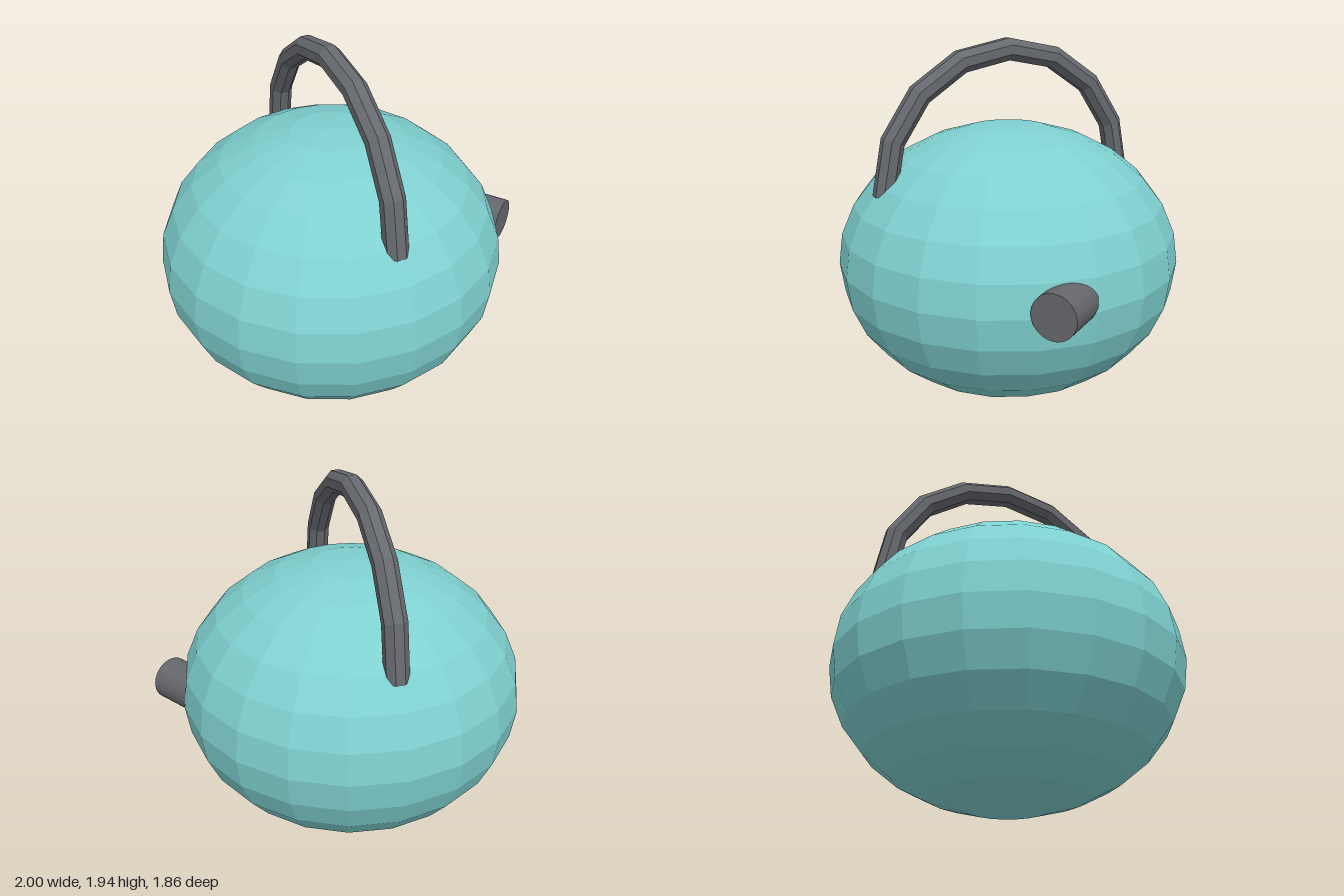
import * as THREE from 'three';

const CX = -0.067; // x of the body's axis

export function createModel() {
  const model = new THREE.Group();
  const add = (name, geometry, color) => {
    const material = new THREE.MeshStandardMaterial({ color, flatShading: true });
    const mesh = new THREE.Mesh(geometry, material);
    mesh.name = name;
    model.add(mesh);
    return mesh;
  };

  // Squashed faceted sphere
  const body = add('body', new THREE.SphereGeometry(0.932, 20, 14), 0x7fd0d0);
  body.scale.y = 0.8;
  body.position.set(CX, 0.75, 0);

  // Half ring with an octagonal section, flat side outward
  const section = [];
  for (let i = 0; i <= 8; i++) {
    const a = ((i + 0.5) * Math.PI) / 4;
    section.push(new THREE.Vector2(0.706 + 0.0625 * Math.cos(a), 0.0625 * Math.sin(a)));
  }
  const arch = new THREE.LatheGeometry(section, 8, 0, Math.PI).rotateZ(Math.PI / 2);
  const handle = add('handle', arch, 0x66696e);
  handle.material.side = THREE.DoubleSide;
  handle.position.set(CX, 1.178, 0);

  // Short spout, turned between the front and the left, its inner end sunk in the body
  const length = 0.42;
  const direction = new THREE.Vector3(0.56, 0, 0.83).normalize();
  const spout = add('spout', new THREE.CylinderGeometry(0.116, 0.116, length, 32), 0x66676c);
  spout.quaternion.setFromUnitVectors(new THREE.Vector3(0, 1, 0), direction);
  spout.position.set(0.9, 0.79, 0.268).addScaledVector(direction, -length / 2);

  return model;
}
